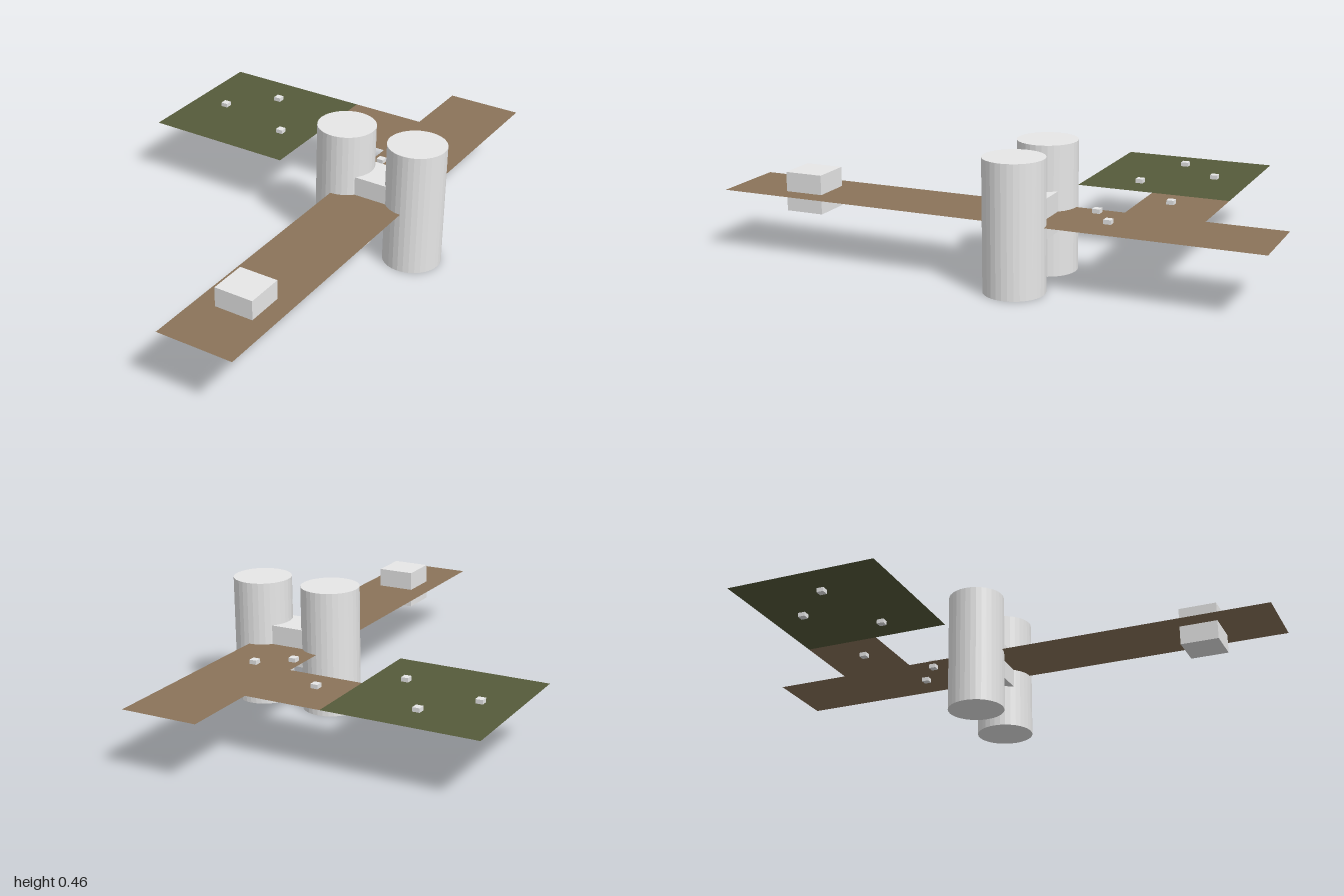
import * as THREE from 'three';

const U = 1 / 7; // layout unit
const LEVEL = 0.232; // height of the floor sheets

export function createModel() {
  const model = new THREE.Group();
  model.name = 'tileLayout';

  const material = (name, color, options) => {
    const m = new THREE.MeshStandardMaterial({ color, ...options });
    m.name = name;
    return m;
  };
  const stone = material('paleGrey', 0xe8e8e8, { flatShading: true });
  const earth = material('earthBrown', 0x8b745a, { side: THREE.DoubleSide });
  const grass = material('mossGreen', 0x565b3b, { side: THREE.DoubleSide });

  const add = (name, geometry, mat, x, y, z) => {
    const mesh = new THREE.Mesh(geometry, mat);
    mesh.name = name;
    mesh.position.set(x, y, z);
    model.add(mesh);
  };
  const sheet = (name, width, depth, mat, x, z) =>
    add(name, new THREE.PlaneGeometry(width, depth).rotateX(-Math.PI / 2), mat, x, LEVEL, z);

  // Flat ground: long road, side path and square field
  const roadX = 0.375;
  sheet('road', 2 * U, 14 * U, earth, roadX, 0);
  sheet('sidePath', 2 * U, 2 * U, earth, roadX - 2 * U, -4 * U);
  sheet('field', 4 * U, 4 * U, grass, roadX - 5 * U, -3 * U);

  // Twin towers on either side of the road, joined by a gate block
  const tower = new THREE.CylinderGeometry(0.75 * U, 0.75 * U, 2 * LEVEL, 32);
  add('rightTower', tower, stone, roadX - U, LEVEL, -U);
  add('leftTower', tower, stone, roadX + U, LEVEL, -U);
  const block = new THREE.BoxGeometry(U, U, U);
  add('gateBlock', block, stone, roadX, LEVEL, -U);
  add('roadBlock', block, stone, roadX, LEVEL, 5 * U);

  // Small marker blocks scattered over the ground
  const marker = new THREE.BoxGeometry(0.027, 0.031, 0.027);
  [
    [-0.34, -0.575], [-0.49, -0.415], [-0.178, -0.34],
    [0.063, -0.538], [0.38, -0.424], [0.27, -0.342],
  ].forEach(([x, z], i) => add(`marker${i + 1}`, marker, stone, x, LEVEL, z));

  return model;
}
